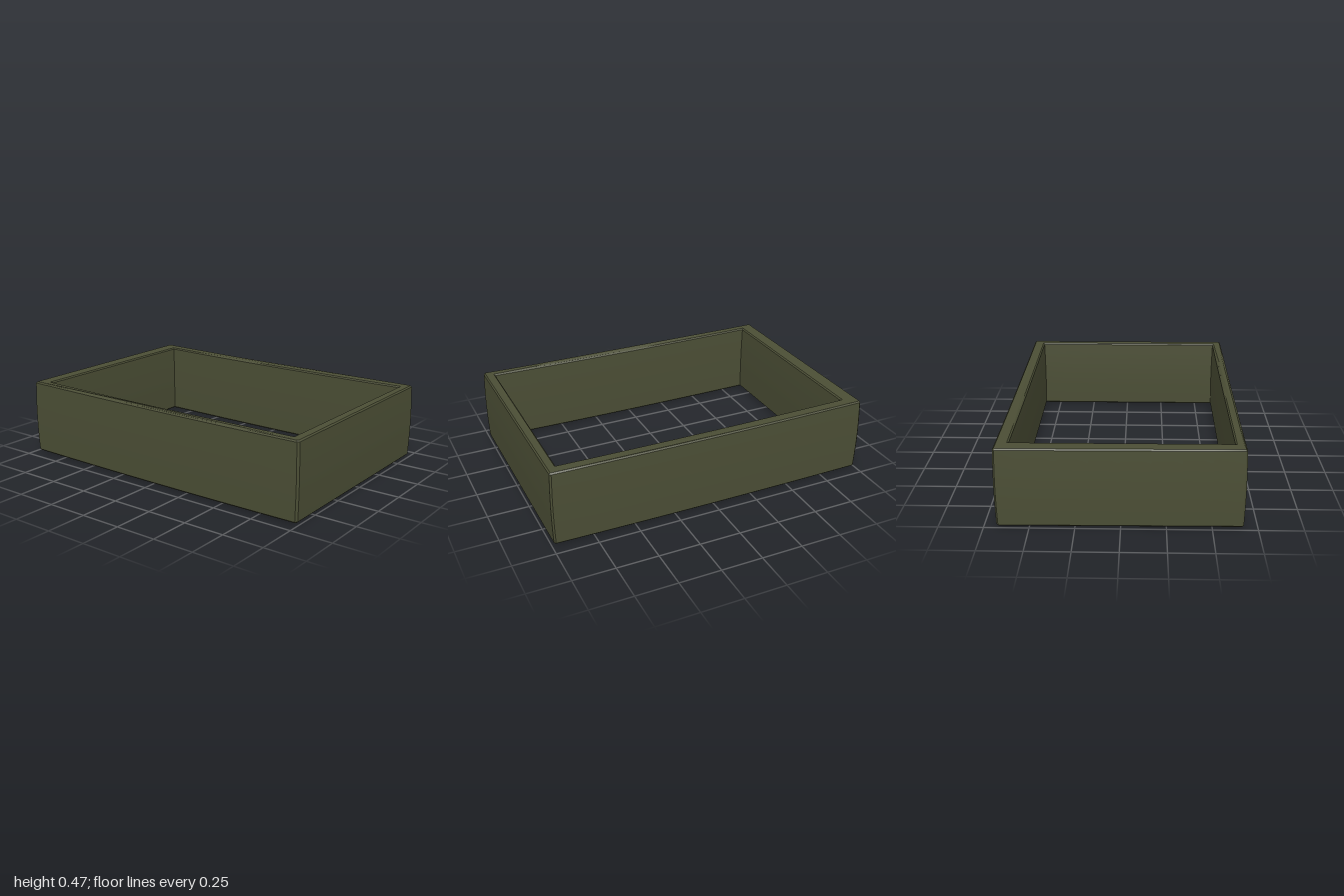
import * as THREE from 'three';
import { toCreasedNormals } from 'three/addons/utils/BufferGeometryUtils.js';

const HEIGHT = 0.46;
const BEVEL = 0.008;

// Corners of the slightly uneven frame as [x, z], with small outer chamfers
const OUTER = [
  [-0.975, 0.672], [0.98, 0.676], [0.99, 0.662], [0.985, -0.67],
  [0.975, -0.678], [-0.985, -0.68], [-0.995, -0.67], [-0.981, 0.662],
];
const INNER = [[-0.893, 0.615], [0.926, 0.618], [0.928, -0.606], [-0.897, -0.606]];

// Split the long sides so that they can bow gently
function outline(corners) {
  const points = [];
  corners.forEach(([x, z], i) => {
    const [nx, nz] = corners[(i + 1) % corners.length];
    const n = Math.hypot(nx - x, nz - z) > 0.1 ? 8 : 1;
    for (let k = 0; k < n; k++) {
      const t = k / n;
      points.push(new THREE.Vector2(x + (nx - x) * t, -(z + (nz - z) * t)));
    }
  });
  return points;
}

function frameGeometry() {
  const shape = new THREE.Shape(outline(OUTER));
  shape.holes.push(new THREE.Path(outline(INNER)));
  const geometry = new THREE.ExtrudeGeometry(shape, {
    depth: HEIGHT - 2 * BEVEL, steps: 6,
    bevelEnabled: true, bevelSegments: 1,
    bevelThickness: BEVEL, bevelSize: BEVEL, bevelOffset: -BEVEL,
  });
  geometry.rotateX(-Math.PI / 2).translate(0, BEVEL, 0);

  // Walls swell at mid height, and the rims sag a little between the corners
  const p = geometry.attributes.position;
  for (let i = 0; i < p.count; i++) {
    const x = p.getX(i), y = p.getY(i), z = p.getZ(i);
    const inner = Math.abs(x) < 0.945 && Math.abs(z) < 0.64;
    const swell = 0.006 * Math.sin(Math.PI * THREE.MathUtils.clamp(y / HEIGHT, 0, 1));
    const bulge = 1 + (inner ? -swell : swell);
    const sag = 0.007 * Math.min(1, x * x);
    p.setXYZ(i, x * bulge, y + sag, z * bulge);
  }
  return toCreasedNormals(geometry, 0.5);
}

export function createModel() {
  const group = new THREE.Group();
  group.name = 'rectangularFrame';
  const material = new THREE.MeshStandardMaterial({ color: 0x4b4e35 });
  const frame = new THREE.Mesh(frameGeometry(), material);
  frame.name = 'frameWalls';
  group.add(frame);
  return group;
}
